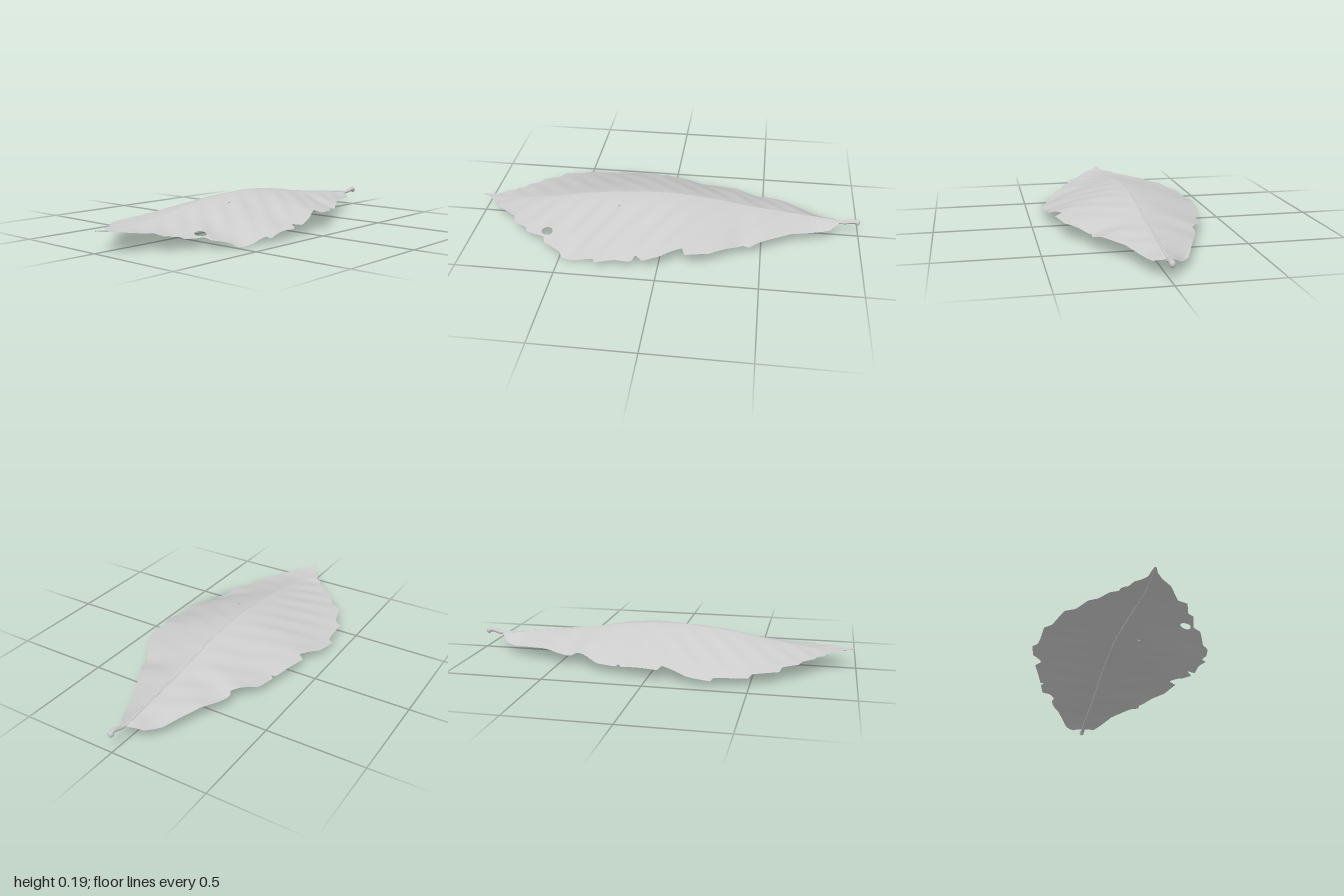
import * as THREE from 'three';

const leafGrey = new THREE.MeshStandardMaterial({ color: 0xcccccc, side: THREE.DoubleSide });
leafGrey.name = 'leaf grey';

// Toothed margins as [x, distance from midrib]
const frontMargin = [[-1, 0.004], [-0.96, 0.02], [-0.93, 0.045], [-0.88, 0.1], [-0.785, 0.155], [-0.78, 0.2],
  [-0.705, 0.225], [-0.7, 0.25], [-0.6, 0.28], [-0.59, 0.315], [-0.5, 0.355], [-0.49, 0.38], [-0.4, 0.4],
  [-0.32, 0.405], [-0.31, 0.43], [-0.21, 0.42], [-0.125, 0.425], [-0.11, 0.39], [-0.07, 0.425], [0.015, 0.405],
  [0.12, 0.355], [0.13, 0.395], [0.25, 0.36], [0.33, 0.305], [0.41, 0.25], [0.445, 0.255], [0.54, 0.2],
  [0.65, 0.135], [0.755, 0.095], [0.85, 0.06], [0.9, 0.01]];
const backMargin = [[-1, 0.004], [-0.93, 0.015], [-0.89, 0.065], [-0.85, 0.08], [-0.84, 0.11], [-0.805, 0.12],
  [-0.8, 0.15], [-0.735, 0.2], [-0.725, 0.235], [-0.645, 0.28], [-0.635, 0.33], [-0.505, 0.37], [-0.495, 0.405],
  [-0.375, 0.41], [-0.33, 0.415], [-0.32, 0.44], [-0.2, 0.425], [-0.07, 0.37], [-0.055, 0.4], [0.14, 0.35],
  [0.155, 0.33], [0.165, 0.345], [0.27, 0.325], [0.4, 0.245], [0.42, 0.255], [0.53, 0.22], [0.655, 0.17],
  [0.78, 0.12], [0.85, 0.07], [0.9, 0.01]];

// Smooth half width and heights as [x, value]
const halfWidth = [[-1, 0.03], [-0.85, 0.11], [-0.7, 0.25], [-0.5, 0.38], [-0.3, 0.43], [-0.1, 0.42],
  [0.1, 0.38], [0.3, 0.32], [0.5, 0.225], [0.7, 0.13], [0.9, 0.04]];
const ridgeHeight = [[-1, 0.112], [-0.9, 0.102], [-0.8, 0.103], [-0.6, 0.13], [-0.4, 0.165], [-0.2, 0.188],
  [0, 0.195], [0.2, 0.18], [0.4, 0.15], [0.6, 0.125], [0.8, 0.105], [0.9, 0.094]];
const frontEdgeHeight = [[-1, 0.11], [-0.8, 0.088], [-0.68, 0.06], [-0.57, 0.04], [-0.46, 0.005], [-0.35, 0.025],
  [-0.25, 0.045], [-0.13, 0.055], [0, 0.085], [0.08, 0.102], [0.2, 0.1], [0.32, 0.088], [0.41, 0.065],
  [0.5, 0.085], [0.6, 0.082], [0.7, 0.075], [0.8, 0.068], [0.9, 0.075]];
const backEdgeHeight = [[-1, 0.11], [-0.8, 0.09], [-0.6, 0.07], [-0.4, 0.045], [-0.25, 0.04], [-0.1, 0.055],
  [0.05, 0.05], [0.17, 0.04], [0.28, 0.052], [0.36, 0.07], [0.45, 0.058], [0.58, 0.078], [0.7, 0.07],
  [0.8, 0.06], [0.9, 0.075]];

// Insect holes in the front half
const holes = [
  { x: -0.59, z: 0.245, rx: 0.03, rz: 0.024, turn: 0.3 },
  { x: -0.25, z: 0.105, rx: 0.022, rz: 0.006, turn: -0.5 },
];

function segment(table, x) {
  let i = 0;
  while (i < table.length - 2 && x > table[i + 1][0]) i++;
  const [a, b] = [table[i], table[i + 1]];
  return { i, a, b, t: THREE.MathUtils.clamp((x - a[0]) / (b[0] - a[0]), 0, 1) };
}

function linear(table, x) {
  const { a, b, t } = segment(table, x);
  return a[1] + (b[1] - a[1]) * t;
}

function smooth(table, x) {
  const { i, a, b, t } = segment(table, x);
  const slope = (k) => {
    const p = table[Math.max(k - 1, 0)], q = table[Math.min(k + 1, table.length - 1)];
    return (q[1] - p[1]) / (q[0] - p[0]);
  };
  const h = b[0] - a[0], t2 = t * t, t3 = t2 * t;
  return a[1] * (2 * t3 - 3 * t2 + 1) + b[1] * (3 * t2 - 2 * t3)
    + h * (slope(i) * (t3 - 2 * t2 + t) + slope(i + 1) * (t3 - t2));
}

// Blade height: arched away from the ridge, with shallow slanting side veins
function bladeHeight(x, d, edgeHeight) {
  const t = Math.min(d / smooth(halfWidth, x), 1.1);
  const ridge = smooth(ridgeHeight, x);
  const vein = 0.0025 * Math.sin((x + 0.75 * d) * 2 * Math.PI / 0.14) * Math.sin(Math.PI * Math.min(t, 1));
  return ridge + (smooth(edgeHeight, x) - ridge) * Math.pow(t, 1.25) + vein;
}

// One half of the blade; side is +1 for front and -1 for back
function bladeHalf(side, margin, edgeHeight, cuts) {
  const cols = 240, rows = 40, pos = [], index = [], inside = [];
  for (let i = 0; i <= cols; i++) {
    const x0 = -1 + 1.9 * i / cols, w = linear(margin, x0);
    for (let j = 0; j <= rows; j++) {
      let x = x0, d = w * j / rows, cut = false;
      // Points within a hole are pushed out to its rim
      for (const h of cuts) {
        const c = Math.cos(h.turn), s = Math.sin(h.turn), dx = x - h.x, dz = d - h.z;
        const a = (dx * c + dz * s) / h.rx, b = (dz * c - dx * s) / h.rz, r = Math.hypot(a, b);
        if (r >= 1 || r < 1e-6) { cut = cut || r < 1; continue; }
        cut = true;
        const u = a / r * h.rx, v = b / r * h.rz;
        x = h.x + u * c - v * s;
        d = h.z + u * s + v * c;
      }
      inside.push(cut);
      pos.push(x, bladeHeight(x, d, edgeHeight), d * side);
    }
  }
  for (let i = 0; i < cols; i++) {
    for (let j = 0; j < rows; j++) {
      const a = i * (rows + 1) + j, b = a + 1, c = a + rows + 1, d = c + 1;
      for (const tri of [[a, b, c], [b, d, c]]) {
        if (tri.every((k) => inside[k])) continue;
        index.push(...(side > 0 ? tri : tri.reverse()));
      }
    }
  }
  const geometry = new THREE.BufferGeometry();
  geometry.setAttribute('position', new THREE.Float32BufferAttribute(pos, 3));
  geometry.setIndex(index);
  geometry.computeVertexNormals();
  return geometry;
}

// Tube whose radius follows a rule along its length
function taperedTube(points, segments, radiusAt) {
  const curve = new THREE.CatmullRomCurve3(points);
  const sides = 10, geometry = new THREE.TubeGeometry(curve, segments, 1, sides);
  const p = geometry.attributes.position, v = new THREE.Vector3();
  for (let k = 0; k < p.count; k++) {
    const t = Math.floor(k / (sides + 1)) / segments, centre = curve.getPointAt(t);
    v.fromBufferAttribute(p, k).sub(centre).multiplyScalar(radiusAt(t)).add(centre);
    p.setXYZ(k, v.x, v.y, v.z);
  }
  geometry.computeVertexNormals();
  return geometry;
}

export function createModel() {
  const leaf = new THREE.Group();
  leaf.name = 'leaf';
  const add = (name, geometry) => {
    const mesh = new THREE.Mesh(geometry, leafGrey);
    mesh.name = name;
    leaf.add(mesh);
    return mesh;
  };

  add('frontBlade', bladeHalf(1, frontMargin, frontEdgeHeight, holes));
  add('backBlade', bladeHalf(-1, backMargin, backEdgeHeight, []));

  // Midrib along the fold, mostly under the blade
  const ribPoints = [];
  for (let x = -0.99; x < 0.9; x += 0.09) {
    ribPoints.push(new THREE.Vector3(x, smooth(ridgeHeight, x) - 0.003, 0));
  }
  add('midrib', taperedTube(ribPoints, 80, (t) => 0.002 + 0.006 * t));

  // Short stalk with a swollen end
  const stalkPoints = [[0.8, 0.1, 0], [0.87, 0.092, 0], [0.92, 0.093, 0.006], [0.96, 0.104, 0.01], [0.987, 0.103, 0.008]];
  add('stalk', taperedTube(stalkPoints.map((p) => new THREE.Vector3(...p)), 24, (t) => 0.007 + 0.005 * t));
  const end = add('stalkEnd', new THREE.SphereGeometry(0.014, 14, 10));
  end.position.set(0.986, 0.1, 0.008);
  end.scale.set(1, 1.15, 1);

  return leaf;
}
